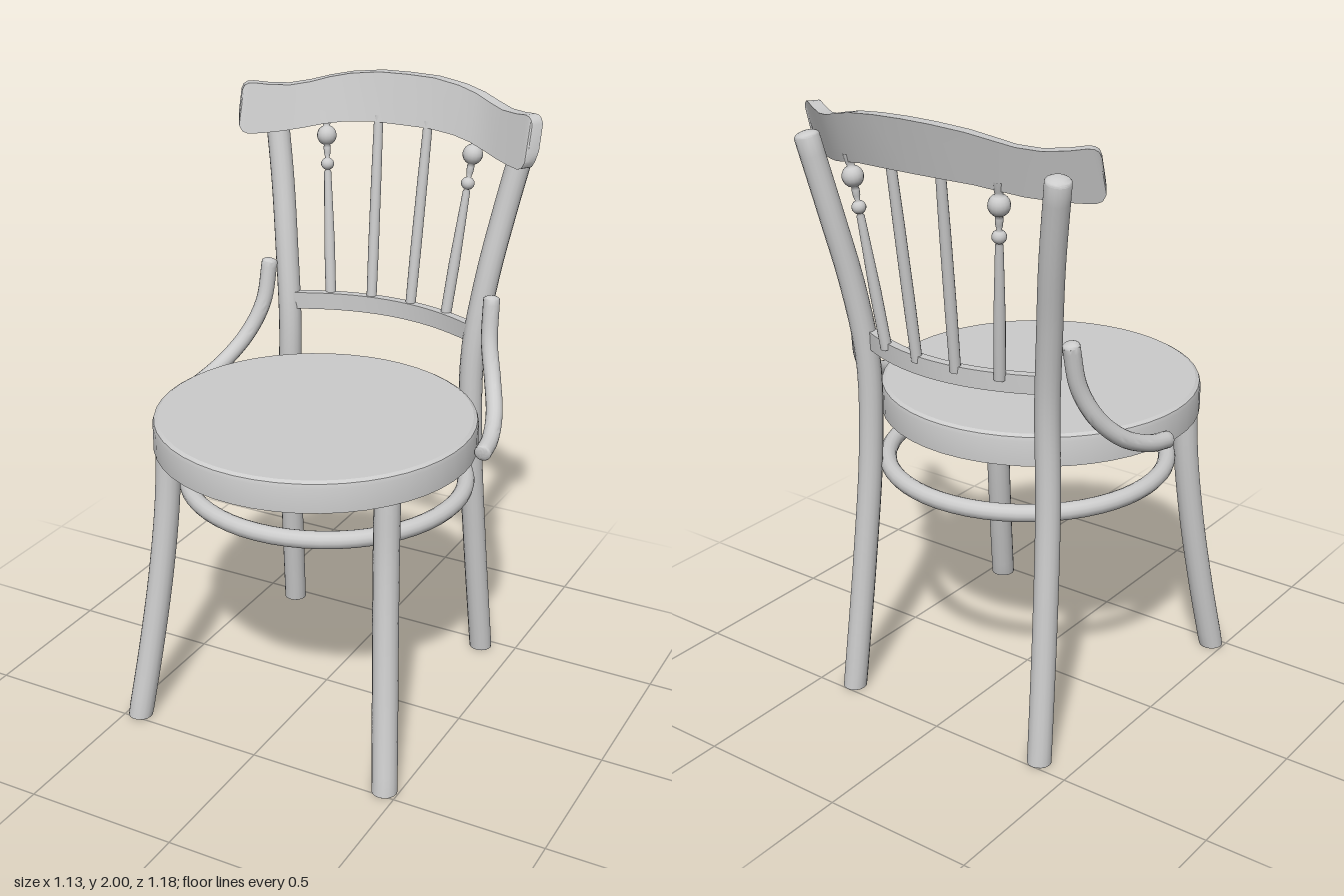
import * as THREE from 'three';
import { mergeGeometries, toCreasedNormals } from 'three/addons/utils/BufferGeometryUtils.js';

const V = (x, y, z) => new THREE.Vector3(x, y, z);
const material = new THREE.MeshStandardMaterial({ color: 0xcccccc, side: THREE.DoubleSide });

function add(group, name, geometry) {
  const mesh = new THREE.Mesh(geometry, material);
  mesh.name = name;
  group.add(mesh);
  return mesh;
}

// Bent round rod through points, closed by domes (dome = height relative to radius, 0 is flat)
function rod(points, radius, startDome = 0, endDome = 0) {
  const curve = new THREE.CatmullRomCurve3(points);
  const parts = [new THREE.TubeGeometry(curve, 32, radius, 16)];
  [[0, -1, startDome], [1, 1, endDome]].forEach(([t, sign, dome]) => {
    const cap = dome
      ? new THREE.SphereGeometry(radius, 16, 6, 0, Math.PI * 2, 0, Math.PI / 2).scale(1, dome, 1)
      : new THREE.CircleGeometry(radius, 16).rotateX(-Math.PI / 2);
    const dir = curve.getTangent(t).multiplyScalar(sign);
    cap.applyQuaternion(new THREE.Quaternion().setFromUnitVectors(V(0, 1, 0), dir));
    const p = curve.getPoint(t);
    parts.push(cap.translate(p.x, p.y, p.z));
  });
  const geometry = mergeGeometries(parts);
  // Feet are cut level with the floor
  const pos = geometry.attributes.position;
  for (let i = 0; i < pos.count; i++) if (pos.getY(i) < 0.02) pos.setY(i, 0);
  return toCreasedNormals(geometry, 0.7);
}

// Bowed board: half sections [x, z, bottom, top, lean], mirrored across x = 0
function bowedBoard(half, thickness) {
  const mirrored = half.filter(s => s[0] > 0).reverse().map(([x, ...r]) => [-x, ...r]);
  const sections = [...mirrored, ...half];
  const positions = [], index = [];
  sections.forEach(([x, z, y0, y1, lean], i) => {
    const a = sections[Math.max(i - 1, 0)], b = sections[Math.min(i + 1, sections.length - 1)];
    const n = new THREE.Vector2(a[1] - b[1], b[0] - a[0]).normalize().multiplyScalar(thickness / 2);
    // Corners: front bottom, front top, back top, back bottom
    [[1, y0, lean], [1, y1, 0], [-1, y1, 0], [-1, y0, lean]].forEach(([s, y, dz]) =>
      positions.push(x + n.x * s, y, z + dz + n.y * s));
  });
  for (let i = 0; i < sections.length - 1; i++) {
    for (let j = 0; j < 4; j++) {
      const a = i * 4 + j, b = i * 4 + (j + 1) % 4;
      index.push(a, a + 4, b, b, a + 4, b + 4);
    }
  }
  const e = (sections.length - 1) * 4;
  index.push(0, 1, 2, 0, 2, 3, e, e + 2, e + 1, e, e + 3, e + 2);
  const geometry = new THREE.BufferGeometry();
  geometry.setAttribute('position', new THREE.Float32BufferAttribute(positions, 3));
  geometry.setIndex(index);
  return toCreasedNormals(geometry, 0.6);
}

// Turned spindle standing between two points; profile is [radius, height fraction]
function spindle(group, name, from, to, profile) {
  const axis = to.clone().sub(from), length = axis.length();
  const points = profile.map(([r, t]) => new THREE.Vector2(r, t * length));
  const mesh = add(group, name, new THREE.LatheGeometry(points, 16));
  mesh.position.copy(from);
  mesh.quaternion.setFromUnitVectors(V(0, 1, 0), axis.normalize());
}

// Points of a bead on a spindle profile
function bead(radius, center, halfHeight) {
  return Array.from({ length: 9 }, (_, i) => {
    const a = -1.25 + 2.5 * i / 8;
    return [radius * Math.cos(a), center + halfHeight * Math.sin(a)];
  });
}

export function createModel() {
  const chair = new THREE.Group();
  chair.name = 'chair';

  // Round seat with a hoop around a recessed underside
  const seatProfile = [
    [0, 0.985], [0.44, 0.985], [0.44, 0.945], [0.518, 0.945], [0.518, 1.025],
    [0.514, 1.038], [0.502, 1.045], [0, 1.045],
  ].map(p => new THREE.Vector2(...p));
  const seat = add(chair, 'seat', toCreasedNormals(new THREE.LatheGeometry(seatProfile, 48), 0.5));
  seat.position.z = 0.074;

  // Ring stretcher inside the legs
  const ring = add(chair, 'ringStretcher', new THREE.TorusGeometry(0.455, 0.028, 14, 56));
  ring.rotation.x = Math.PI / 2;
  ring.position.y = 0.79;

  for (const [side, s] of [['left', 1], ['right', -1]]) {
    add(chair, side + 'FrontLeg', rod([
      V(0.455 * s, 0, 0.472), V(0.43 * s, 0.25, 0.425), V(0.408 * s, 0.5, 0.385),
      V(0.392 * s, 0.75, 0.355), V(0.386 * s, 0.96, 0.342),
    ], 0.041));

    // Back leg running on into the back post
    add(chair, side + 'BackPost', rod([
      V(0.38 * s, 0, -0.463), V(0.362 * s, 0.45, -0.41), V(0.347 * s, 0.85, -0.375),
      V(0.343 * s, 1.15, -0.376), V(0.37 * s, 1.4, -0.405), V(0.405 * s, 1.62, -0.445),
      V(0.453 * s, 1.87, -0.487),
    ], 0.039, 0, 0.4));

    // Bent brace from seat rim to post
    add(chair, side + 'Brace', rod([
      V(0.538 * s, 0.978, -0.018), V(0.528 * s, 0.992, -0.1), V(0.498 * s, 1.035, -0.2),
      V(0.455 * s, 1.115, -0.28), V(0.42 * s, 1.22, -0.327), V(0.41 * s, 1.355, -0.355),
    ], 0.027, 0.3, 0.5));

    // Plain inner and beaded outer spindles
    spindle(chair, side + 'InnerSpindle', V(0.073 * s, 1.235, -0.462), V(0.09 * s, 1.86, -0.535),
      [[0.017, 0], [0.018, 0.3], [0.017, 0.7], [0.015, 1]]);
    spindle(chair, side + 'OuterSpindle', V(0.215 * s, 1.235, -0.435), V(0.272 * s, 1.85, -0.508), [
      [0.018, 0], [0.018, 0.3], [0.012, 0.69], ...bead(0.022, 0.732, 0.034),
      [0.011, 0.79], [0.012, 0.82], ...bead(0.033, 0.885, 0.054), [0.014, 0.95], [0.018, 1],
    ]);
  }

  // Lower bowed slat
  const slat = Array.from({ length: 9 }, (_, i) => {
    const x = 0.34 * i / 8;
    return [x, -0.462 + 0.82 * x * x, 1.197, 1.255, 0];
  });
  add(chair, 'lowerSlat', bowedBoard(slat, 0.03));

  // Bowed, leaning crest rail with rounded ends
  add(chair, 'crestRail', bowedBoard([
    [0, -0.573, 1.84, 2.0, 0.035], [0.1, -0.572, 1.84, 1.998, 0.035],
    [0.2, -0.554, 1.834, 1.987, 0.037], [0.27, -0.535, 1.823, 1.972, 0.039],
    [0.33, -0.508, 1.81, 1.955, 0.04], [0.39, -0.47, 1.8, 1.945, 0.042],
    [0.45, -0.432, 1.794, 1.948, 0.044], [0.49, -0.407, 1.793, 1.954, 0.045],
    [0.507, -0.396, 1.8, 1.953, 0.043], [0.518, -0.389, 1.82, 1.945, 0.038],
    [0.524, -0.385, 1.85, 1.93, 0.022],
  ], 0.04));

  return chair;
}
